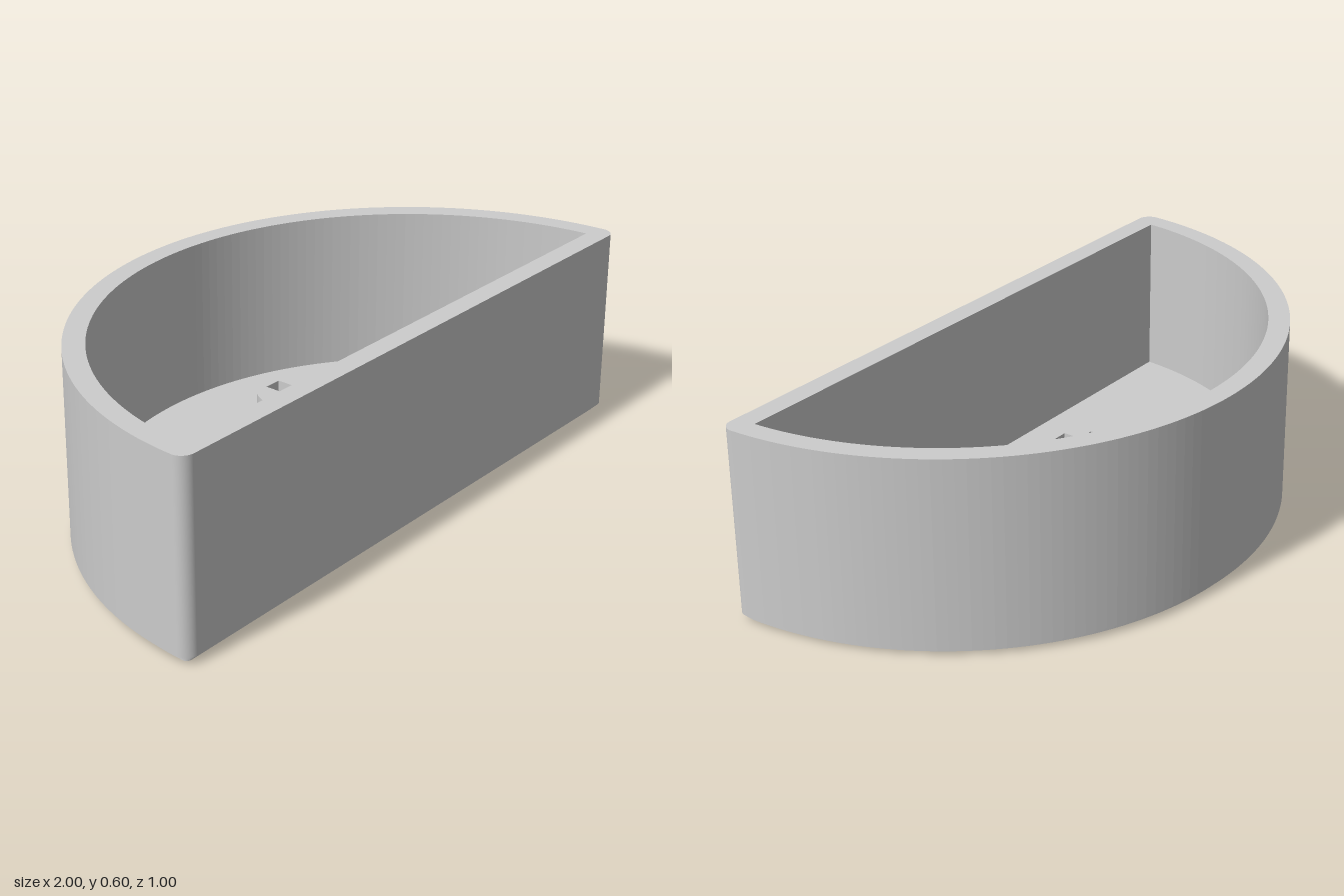
import * as THREE from 'three';

const STEP = 0.008;        // height and inset of each foot step
const FOOT = 3 * STEP;     // top of the stepped foot
const WALL = 0.065;        // wall thickness
const FLOOR = 0.1;         // top of the floor
const HEIGHT = 0.6;
const STEM_TOP = 0.28;
const STEM_Z = 0.035;

// Half-disc outline, inset evenly, with rounded front corners of radius r
function halfDisc(inset, r, Type = THREE.Shape) {
  const R = 1 - inset, flat = -0.5 + inset;
  const cx = Math.sqrt((R - r) ** 2 - (inset + r) ** 2);
  const a = Math.atan2(inset + r, cx);
  const s = new Type();
  s.moveTo(-cx, flat);
  s.lineTo(cx, flat);
  if (r > 0) s.absarc(cx, flat + r, r, -Math.PI / 2, a, false);
  s.absarc(0, -0.5, R, a, Math.PI - a, false);
  if (r > 0) s.absarc(-cx, flat + r, r, Math.PI - a, Math.PI * 1.5, false);
  return s;
}

// Extrude a plan shape upwards between two heights, with faceted sides
function slab(shape, y0, y1) {
  const g = new THREE.ExtrudeGeometry(shape, { depth: y1 - y0, bevelEnabled: false, curveSegments: 48 });
  g.rotateX(-Math.PI / 2);
  g.translate(0, y0, 0);
  return g;
}

// Seed-shaped pockets under the base, fanned out and mirrored: [x, z]
function pockets() {
  const half = [[0.75, 0.355], [0.608, 0.11], [0.358, -0.28]];
  const spots = [...half, [0, -0.37], ...half.map(([x, z]) => [-x, z])];
  return spots.map(([x, z]) => {
    const p = new THREE.Path();
    p.absellipse(x, -z, 0.06, 0.033, 0, Math.PI * 2, true, Math.atan2(0.95 - z, x));
    return p;
  });
}

// Plus-shaped socket outline
function plus(cy, arm, w) {
  const pts = [];
  for (let i = 0; i < 4; i++) {
    const c = Math.round(Math.cos(i * Math.PI / 2)), s = Math.round(Math.sin(i * Math.PI / 2));
    for (const [x, y] of [[w, -w], [arm, -w], [arm, w]])
      pts.push(new THREE.Vector2(x * c - y * s, cy + x * s + y * c));
  }
  return new THREE.Path(pts);
}

export function createModel() {
  const model = new THREE.Group();
  model.name = 'halfRoundCap';
  const grey = new THREE.MeshStandardMaterial({ color: 0xcccccc });
  grey.name = 'grey';
  const add = (name, geometry) => {
    const m = new THREE.Mesh(geometry, grey);
    m.name = name;
    model.add(m);
  };

  // Stepped foot with pockets
  for (let i = 0; i < 3; i++) {
    const inset = (3 - i) * STEP;
    const s = halfDisc(inset, 0.04 - inset);
    s.holes.push(...pockets());
    add('footStep' + (i + 1), slab(s, i * STEP, (i + 1) * STEP));
  }

  // Upright wall
  const wall = halfDisc(0, 0.04);
  wall.holes.push(halfDisc(WALL, 0, THREE.Path));
  add('wall', slab(wall, FOOT, HEIGHT));

  // Floor inside the wall
  add('floor', slab(halfDisc(WALL, 0), FOOT, FLOOR));

  // Round stem with a plus-shaped socket
  const stem = new THREE.Shape();
  stem.absarc(0, -STEM_Z, 0.112, 0, Math.PI * 2, false);
  stem.holes.push(plus(-STEM_Z, 0.085, 0.028));
  add('stem', slab(stem, FLOOR, STEM_TOP));

  return model;
}
